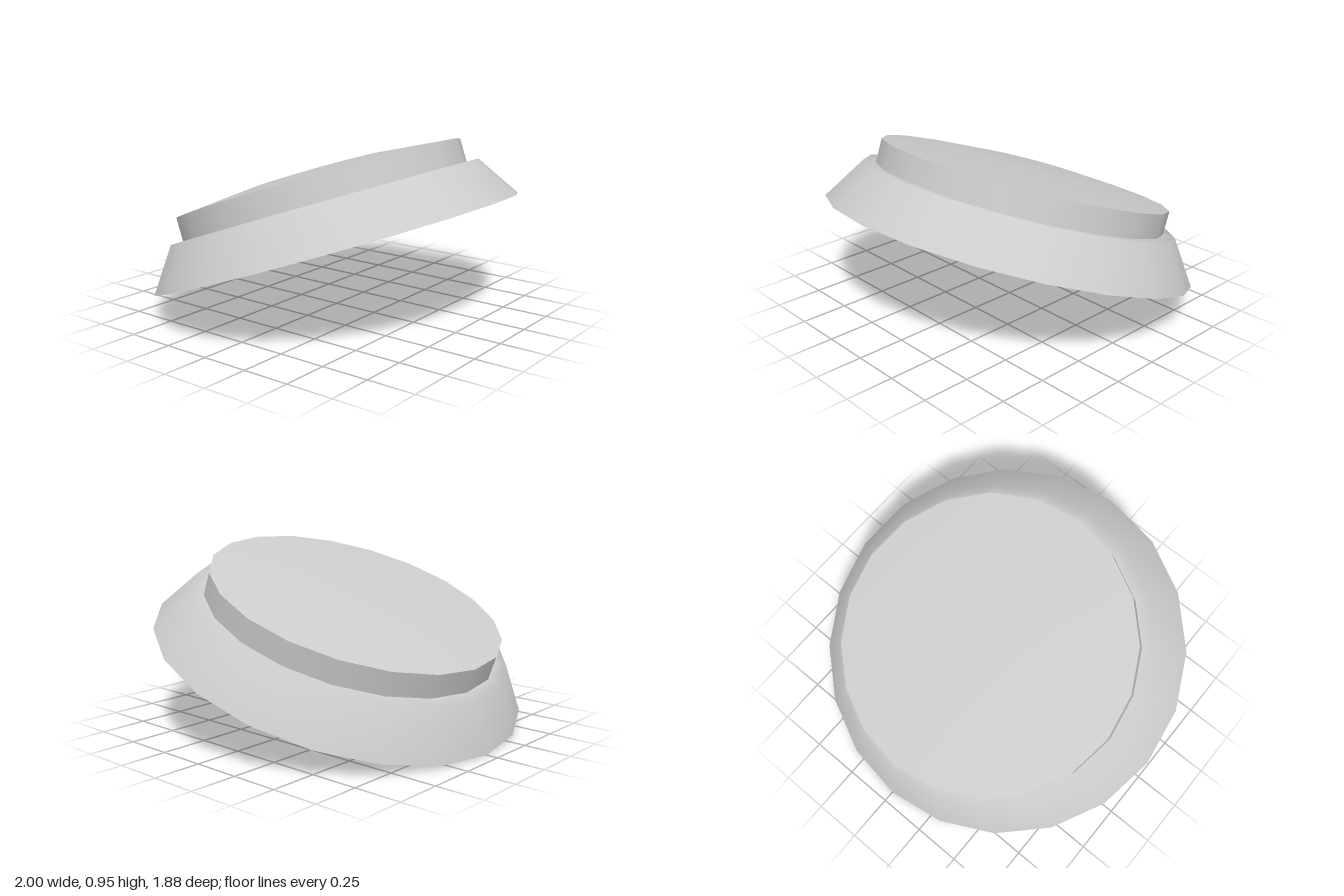
import * as THREE from 'three';

const SIDES = 20;
const TILT = THREE.MathUtils.degToRad(20);

export function createModel() {
  const model = new THREE.Group();
  model.name = 'tiltedButton';
  const material = new THREE.MeshStandardMaterial({ color: 0xcccccc });

  // Revolves a [radius, height] profile, listed from bottom to top.
  const turn = (name, profile) => {
    const points = profile.map(([r, y]) => new THREE.Vector2(r, y));
    const mesh = new THREE.Mesh(new THREE.LatheGeometry(points, SIDES), material);
    mesh.name = name;
    model.add(mesh);
  };

  // Flat underside
  turn('baseUnderside', [[0, 0], [1, 0]]);
  // Sloping collar, shaded smoothly into its narrow ledge
  turn('baseCollar', [[1, 0], [0.85, 0.228], [0.78, 0.228]]);
  // Upright wall of the raised disc
  turn('discWall', [[0.785, 0.228], [0.785, 0.357]]);
  // Slightly domed top
  turn('discTop', [[0.785, 0.357], [0.383, 0.4], [0, 0.4]]);

  // Raise the front edge, resting the back edge on the ground
  model.rotation.x = -TILT;
  model.position.y = Math.sin(TILT);

  const root = new THREE.Group();
  root.name = 'button';
  root.add(model);
  return root;
}
